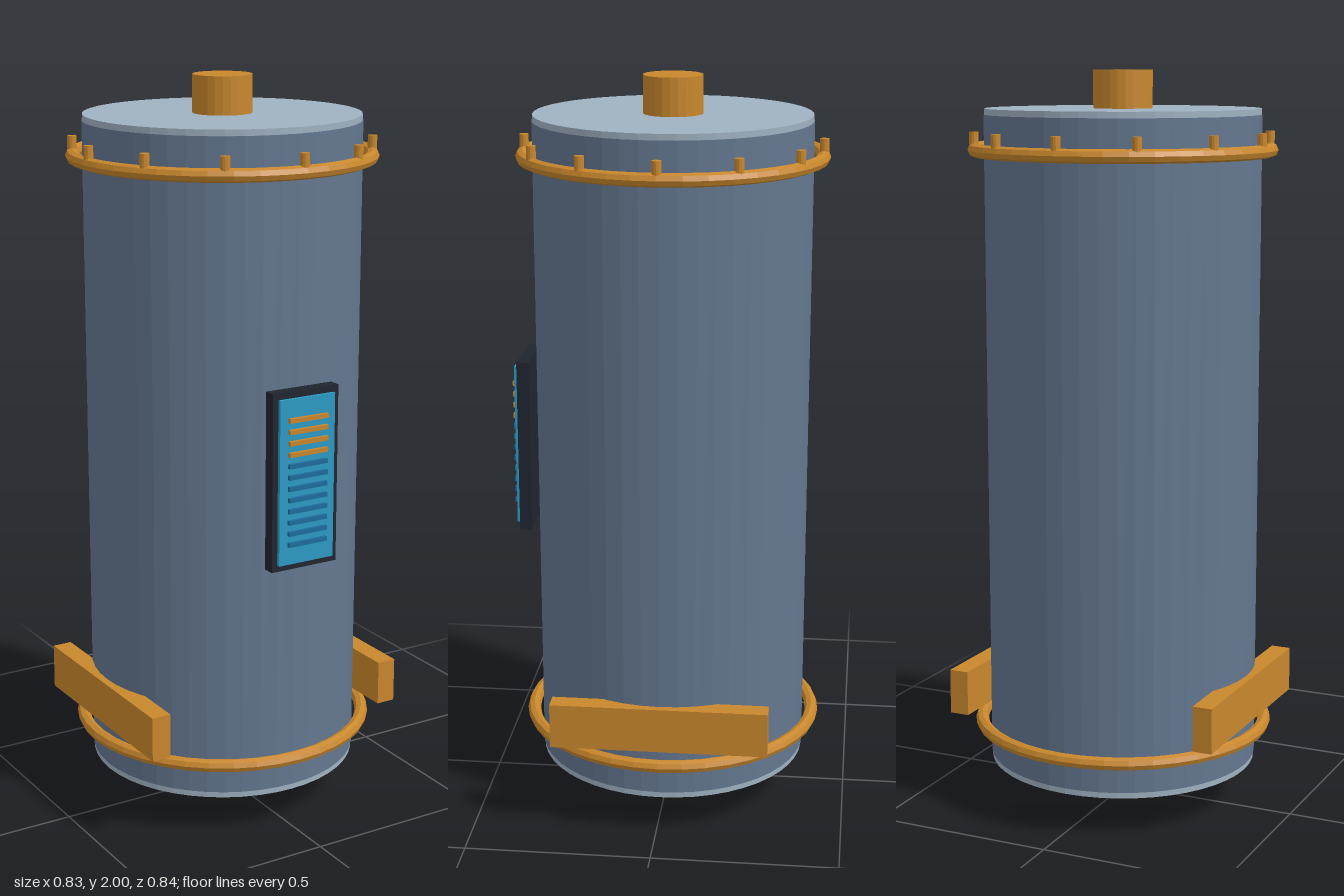
import * as THREE from 'three';

export function createModel() {
  const mat = (name, color) => {
    const m = new THREE.MeshStandardMaterial({ color, flatShading: true });
    m.name = name;
    return m;
  };
  const steel = mat('steel blue', 0x64778f);
  const pale = mat('pale steel', 0x9fb1c0);
  const brass = mat('brass orange', 0xc8872c);
  const dark = mat('dark frame', 0x1f2530);
  const cyan = mat('screen cyan', 0x2b9bc4);
  const blue = mat('bar blue', 0x1c6c9e);

  const model = new THREE.Group();
  model.name = 'canister';
  const add = (name, geometry, material, x, y, z) => {
    const mesh = new THREE.Mesh(geometry, material);
    mesh.name = name;
    mesh.position.set(x, y, z);
    model.add(mesh);
    return mesh;
  };
  const zc = -0.009; // axis of the drum

  // drum
  add('drum', new THREE.CylinderGeometry(0.369, 0.369, 1.758, 48), steel, 0, 1.005, zc);

  // end caps and axle stubs
  for (const [end, s] of [['bottom', -1], ['top', 1]]) {
    add(end + 'Cap', new THREE.CylinderGeometry(0.367, 0.367, 0.03, 48), pale, 0, 1.005 + s * 0.88, zc);
    add(end + 'Stub', new THREE.CylinderGeometry(0.079, 0.079, 0.12, 24), brass, 0, 1 + s * 0.94, zc);
  }

  // hoops round the drum
  for (const [end, y] of [['lower', 0.217], ['upper', 1.792]]) {
    const hoop = add(end + 'Hoop', new THREE.TorusGeometry(0.395, 0.018, 8, 40), brass, 0, y, zc);
    hoop.rotation.x = Math.PI / 2;
  }

  // pegs standing on the upper hoop
  const pegGeometry = new THREE.CylinderGeometry(0.0125, 0.0125, 0.05, 12);
  for (let i = 0; i < 12; i++) {
    const a = (i * Math.PI) / 6;
    add('peg', pegGeometry, brass, 0.395 * Math.sin(a), 1.815, zc + 0.395 * Math.cos(a));
  }

  // side rails
  for (const s of [-1, 1]) {
    add(s > 0 ? 'leftRail' : 'rightRail', new THREE.BoxGeometry(0.054, 0.123, 0.583), brass, s * 0.362, 0.317, zc);
  }

  // control panel with its level bars
  add('panelFrame', new THREE.BoxGeometry(0.198, 0.477, 0.033), dark, 0, 1.005, 0.387);
  add('panelScreen', new THREE.BoxGeometry(0.166, 0.442, 0.01), cyan, 0, 1.005, 0.408);
  const barGeometry = new THREE.BoxGeometry(0.116, 0.012, 0.009);
  for (let i = 0; i < 12; i++) {
    add('levelBar', barGeometry, i < 8 ? blue : brass, 0, 0.839 + i * 0.0302, 0.4175);
  }
  return model;
}
